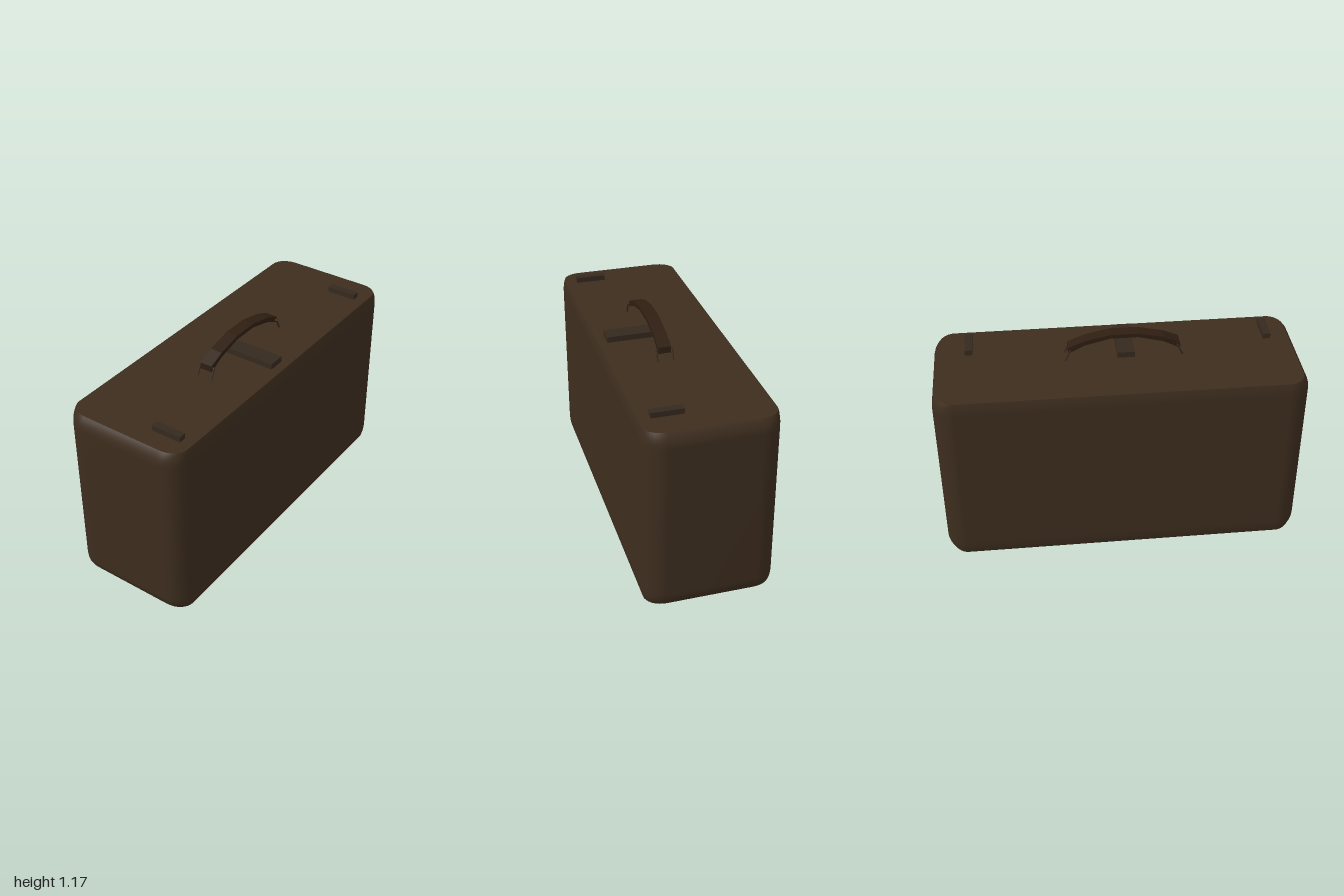
import * as THREE from 'three';

const H = 1.035, HALF_X = 1, HALF_Z = 0.353, CORNER = 0.115, STEPS = 8;
const paint = (color) => new THREE.MeshStandardMaterial({ color });

// One rounded-rectangle outline, drawn in by insetX and insetZ
function outline(insetX, insetZ, y) {
  const points = [];
  const cx = HALF_X - CORNER, cz = HALF_Z - CORNER;
  const rx = CORNER - insetX, rz = CORNER - insetZ;
  for (let corner = 0; corner < 4; corner++) {
    const sx = corner === 0 || corner === 3 ? 1 : -1;
    const sz = corner < 2 ? 1 : -1;
    for (let i = 0; i <= STEPS; i++) {
      const a = (corner + i / STEPS) * Math.PI / 2;
      points.push([sx * cx + rx * Math.cos(a), y, sz * cz + rz * Math.sin(a)]);
    }
  }
  return points;
}

// Case shell: stacked outlines with smooth sides and flat, crisp caps
function caseGeometry() {
  const rim = [[0, 0.03], [0.015, 0.018], [0.035, 0.008], [0.055, 0.002], [0.08, 0]];
  const levels = [...rim, ...rim.slice().reverse().map(([y, d]) => [H - y, d])];
  const rings = levels.map(([y, d]) => outline(d, d * 0.35, y));
  const n = rings[0].length;
  const position = [], index = [];
  rings.forEach((ring) => ring.forEach((p) => position.push(...p)));
  for (let r = 0; r < rings.length - 1; r++) {
    for (let i = 0; i < n; i++) {
      const j = (i + 1) % n;
      const a = r * n + i, b = r * n + j, c = a + n, d = b + n;
      index.push(a, c, b, b, c, d);
    }
  }
  const cap = (ring, up) => {
    const start = position.length / 3;
    ring.forEach((p) => position.push(...p));
    position.push(0, ring[0][1], 0);
    for (let i = 0; i < n; i++) {
      const a = start + i, b = start + (i + 1) % n, centre = start + n;
      index.push(centre, up ? b : a, up ? a : b);
    }
  };
  cap(rings[0], false);
  cap(rings[rings.length - 1], true);
  const geometry = new THREE.BufferGeometry();
  geometry.setAttribute('position', new THREE.Float32BufferAttribute(position, 3));
  geometry.setIndex(index);
  geometry.computeVertexNormals();
  return geometry;
}

export function createModel() {
  const group = new THREE.Group();
  const leather = paint(0x3d2d1e), strap = paint(0x2f1e12), metal = paint(0x35291e);

  const add = (name, geometry, material, x = 0, y = 0, z = 0) => {
    const mesh = new THREE.Mesh(geometry, material);
    mesh.name = name;
    mesh.position.set(x, y, z);
    group.add(mesh);
    return mesh;
  };

  add('caseBody', caseGeometry(), leather);

  // Two side latches and the wide centre lock plate
  for (const [name, x] of [['rightLatch', -0.845], ['leftLatch', 0.805]]) {
    add(name, new THREE.BoxGeometry(0.042, 0.04, 0.17), metal, x, H + 0.01, 0.195);
  }
  add('lockPlate', new THREE.BoxGeometry(0.094, 0.043, 0.29), metal, -0.047, H + 0.011, 0.147);

  // Faceted, arched carrying strap with thickened ends
  const mid = -0.036, zMid = 0.048;
  const outer = [[-0.304, 1.108], [-0.214, 1.145], [-0.075, 1.175]];
  const inner = [[-0.304, 1.072], [-0.214, 1.118], [-0.075, 1.153]];
  const mirror = (side) => side.slice().reverse().map(([x, y]) => [-x, y]);
  const profile = [...outer, ...mirror(outer), ...inner.map(([x, y]) => [-x, y]), ...inner.slice().reverse()];
  const arch = new THREE.ExtrudeGeometry(
    new THREE.Shape(profile.map(([x, y]) => new THREE.Vector2(x, y))),
    { depth: 0.07, bevelEnabled: false });
  add('handleStrap', arch, strap, mid, 0, zMid - 0.035);

  // Wire links: a cross pin through each strap end and two splayed legs
  const rod = (name, from, to) => {
    const a = new THREE.Vector3(...from), b = new THREE.Vector3(...to);
    const dir = b.clone().sub(a);
    const mesh = add(name, new THREE.CylinderGeometry(0.005, 0.005, dir.length(), 8), metal);
    mesh.position.copy(a).add(b).multiplyScalar(0.5);
    mesh.quaternion.setFromUnitVectors(new THREE.Vector3(0, 1, 0), dir.normalize());
  };
  for (const side of [-1, 1]) {
    const topX = mid + side * 0.292, footX = mid + side * 0.322;
    rod('handlePin', [topX, 1.092, zMid - 0.046], [topX, 1.092, zMid + 0.046]);
    for (const s of [-1, 1]) {
      const z = zMid + s * 0.043;
      rod('handleLink', [topX, 1.094, z], [footX, H - 0.005, z]);
    }
  }
  return group;
}
